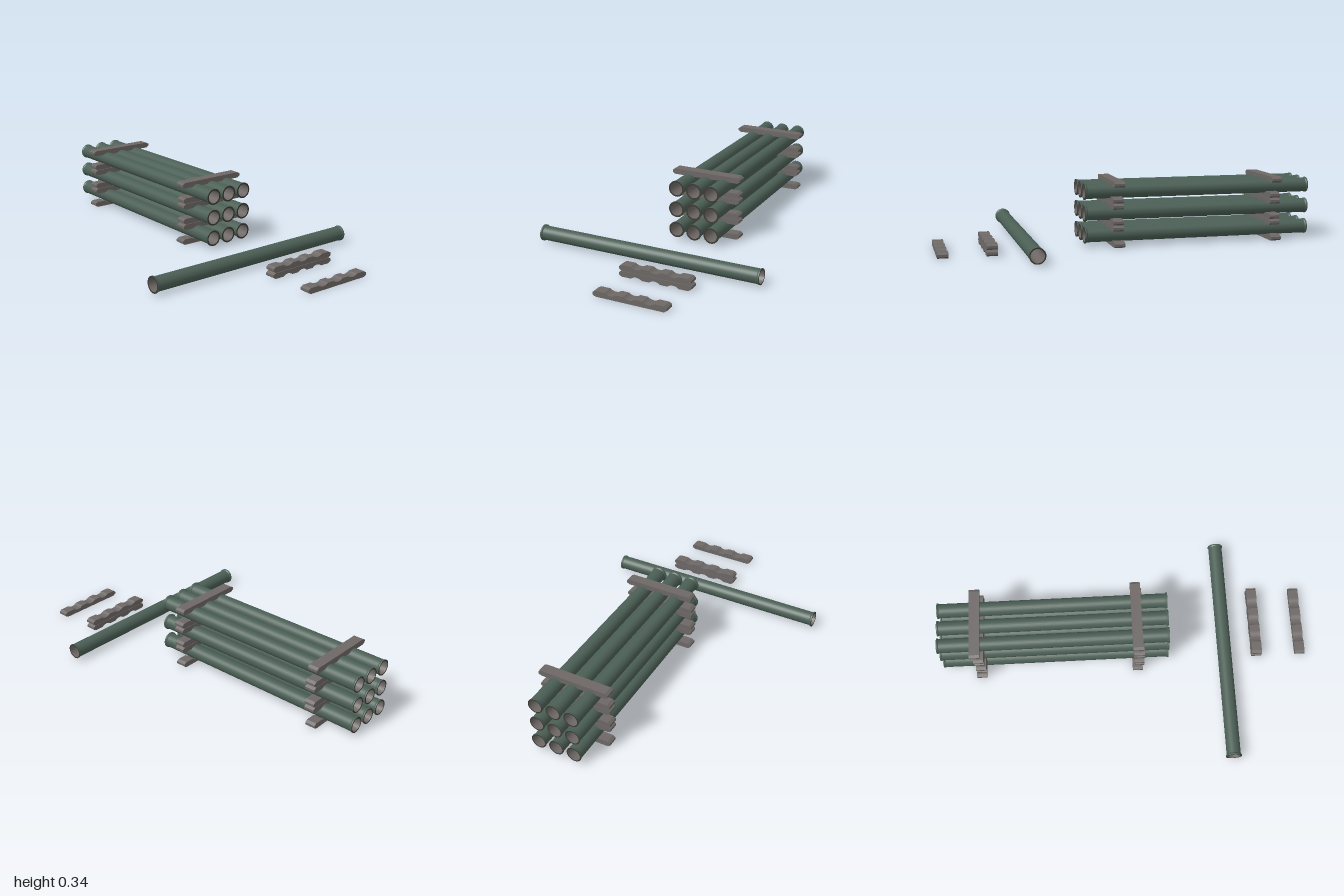
import * as THREE from 'three';

const L = 1.237;           // pipe length
const R = 0.038;           // pipe radius
const BORE = 0.0345;       // inner radius
const SEG = 32;

const green = new THREE.MeshStandardMaterial({ color: 0x4b5f55, side: THREE.DoubleSide });
green.name = 'pipeGreen';
const dark = new THREE.MeshStandardMaterial({ color: 0x3d3b33 });
dark.name = 'rimDark';
const grey = new THREE.MeshStandardMaterial({ color: 0x6d6866, side: THREE.DoubleSide });
grey.name = 'woodGrey';

function add(parent, name, geometry, material) {
  const mesh = new THREE.Mesh(geometry, material);
  mesh.name = name;
  parent.add(mesh);
  return mesh;
}

// Hollow pipe along y, wider lip at the +y end, smaller one at the other
function makePipe(name) {
  const pipe = new THREE.Group();
  pipe.name = name;
  add(pipe, 'pipeBody', new THREE.CylinderGeometry(R, R, L - 0.01, SEG, 1, true), green);
  add(pipe, 'pipeBore', new THREE.CylinderGeometry(BORE, BORE, L, SEG, 1, true), grey);
  for (const [s, r, h] of [[1, 0.043, 0.007], [-1, 0.041, 0.006]]) {
    const end = s * L / 2;
    const lip = add(pipe, 'lip', new THREE.CylinderGeometry(r, r, h, SEG, 1, true), green);
    lip.position.y = end - s * h / 2;
    // sloped back of the lip
    const taper = add(pipe, 'lipTaper',
      new THREE.CylinderGeometry(s > 0 ? r : R, s > 0 ? R : r, 0.006, SEG, 1, true), green);
    taper.position.y = end - s * (h + 0.003);
    const rim = add(pipe, 'rim', new THREE.RingGeometry(BORE, r, SEG), dark);
    rim.rotation.x = -s * Math.PI / 2;
    rim.position.y = end;
  }
  return pipe;
}

// Batten with three pipe hollows in its upper edge, bottom at y = 0
const W = 0.195, H = 0.03, D = 0.055;
function battenGeometry() {
  const s = new THREE.Shape();
  s.moveTo(-W + 0.014, 0);
  s.lineTo(W - 0.014, 0);
  s.lineTo(W, 0.009);
  s.lineTo(W, H - 0.009);
  s.lineTo(W - 0.014, H);
  const half = 0.03, depth = 0.011;
  const arcR = (half * half + depth * depth) / (2 * depth);
  const a = Math.asin(half / arcR);
  for (const x of [0.1, 0, -0.1]) {
    for (let i = 0; i <= 8; i++) {
      const t = a - (2 * a * i) / 8;
      s.lineTo(x + arcR * Math.sin(t), H - depth + arcR * (1 - Math.cos(t)));
    }
  }
  s.lineTo(-W + 0.014, H);
  s.lineTo(-W, H - 0.009);
  s.lineTo(-W, 0.009);
  s.closePath();
  const g = new THREE.ExtrudeGeometry(s, { depth: D, bevelEnabled: false });
  g.translate(0, 0, -D / 2);
  return g;
}

export function createModel() {
  const model = new THREE.Group();
  model.name = 'pipeStack';
  const geo = battenGeometry();

  // y is the flat side; hollows face up, or down when flipped
  function batten(name, x, y, z, flipped = false) {
    const b = add(model, name, geo, grey);
    b.position.set(x, y, z);
    if (flipped) b.rotation.z = Math.PI;
  }

  // Nine stacked pipes
  for (const y of [0.06, 0.174, 0.288]) {
    for (const x of [0, 0.1, 0.2]) {
      const pipe = makePipe('stackedPipe');
      pipe.rotation.x = Math.PI / 2;
      pipe.position.set(x, y, -1 + L / 2);
      model.add(pipe);
    }
  }

  // Battens under, between and over the layers
  for (const [outerZ, innerZ] of [[0.066, 0.074], [-0.797, -0.786]]) {
    batten('bottomBatten', 0.1, 0, outerZ);
    for (const y of [0.117, 0.231]) {
      batten('upperSpacer', 0.1, y + 0.001, innerZ);
      batten('lowerSpacer', 0.1, y - 0.001, innerZ, true);
    }
    batten('topBatten', 0.1, 0.344, outerZ, true);
  }

  // Loose pipe lying across the front
  const loose = makePipe('loosePipe');
  loose.rotation.z = Math.PI / 2;
  loose.position.set(-0.001, 0.047, 0.55);
  model.add(loose);

  // Loose battens: one back-to-back pair and one single
  batten('loosePairLower', 0.15, 0.03, 0.73, true);
  batten('loosePairUpper', 0.15, 0.032, 0.73);
  batten('looseBatten', 0.15, 0, 1 - D / 2);

  return model;
}
